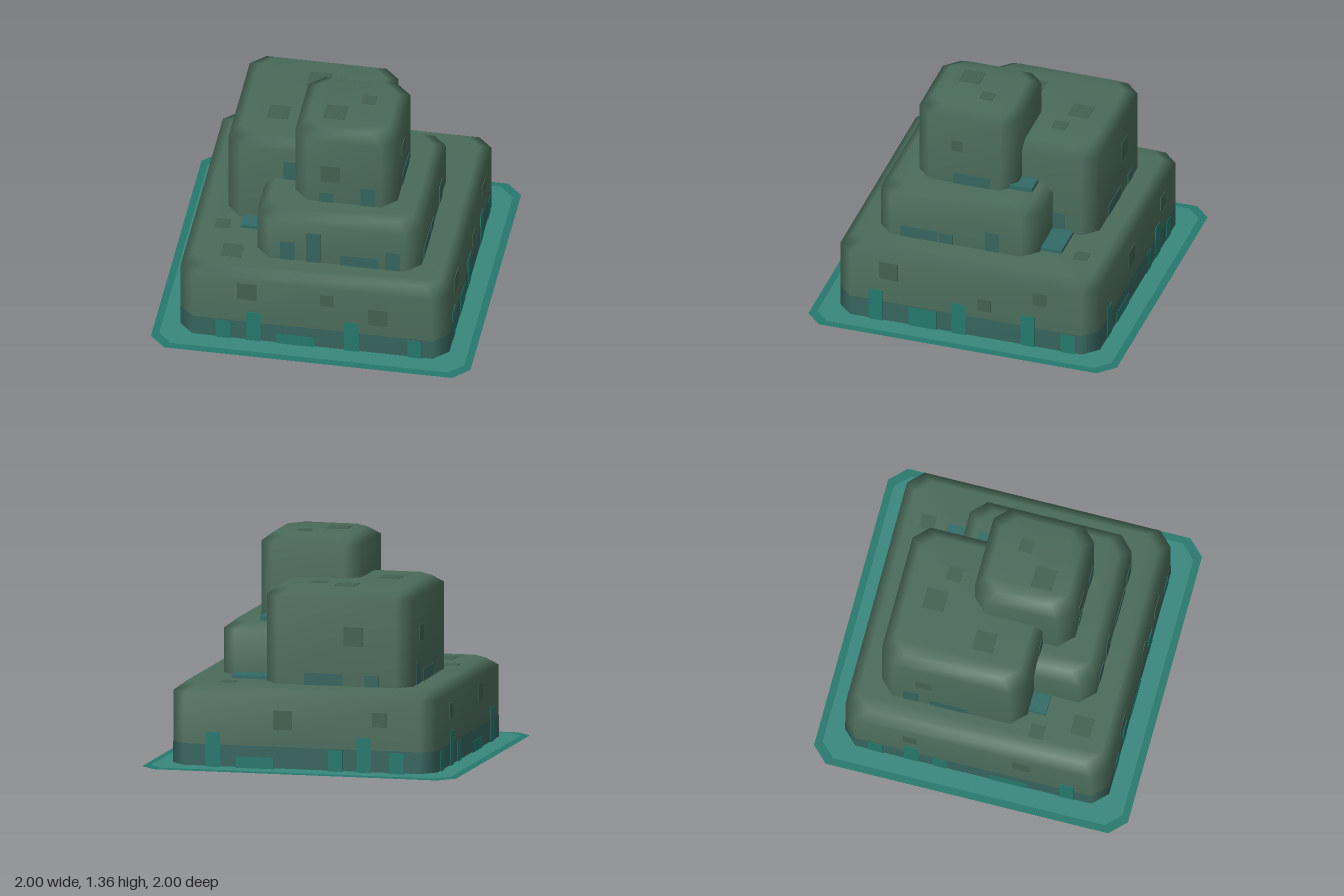
import * as THREE from 'three';

const mat = (color, side = THREE.FrontSide) => new THREE.MeshStandardMaterial({ color, side });

// Ring of eight points: a square with cut corners, centred at (cx, cz)
function octagon(cx, cz, r, y, cut) {
  const s = r - cut;
  const quarter = [[-s, r], [s, r]];
  return [0, 1, 2, 3].flatMap((q) => quarter.map(([x, z]) => {
    for (let i = 0; i < q; i++) [x, z] = [z, -x];
    return [cx + x, y, cz + z];
  }));
}

// Skin stacked rings, bottom to top, with optional caps
function loft(rings, capBottom, capTop) {
  const pos = rings.flat(2), idx = [];
  for (let r = 0; r < rings.length - 1; r++) {
    for (let i = 0; i < 8; i++) {
      const a = r * 8 + i, b = r * 8 + (i + 1) % 8;
      idx.push(a, b, b + 8, a, b + 8, a + 8);
    }
  }
  const cap = (first, up) => {
    for (let i = 1; i < 7; i++) idx.push(first, first + (up ? i : i + 1), first + (up ? i + 1 : i));
  };
  if (capTop) cap((rings.length - 1) * 8, true);
  if (capBottom) {
    // own copy of the bottom ring keeps that edge sharp
    pos.push(...rings[0].flat());
    cap(rings.length * 8, false);
  }
  const g = new THREE.BufferGeometry();
  g.setAttribute('position', new THREE.Float32BufferAttribute(pos, 3));
  g.setIndex(idx);
  g.computeVertexNormals();
  return g;
}

// Strip kinds as [width, height]: tall, short, broad, low, wide
const KINDS = { t: [0.09, 0.22], s: [0.09, 0.135], b: [0.18, 0.135], l: [0.09, 0.07], w: [0.24, 0.075] };

const MATS = {
  stone: mat(0x4a6b5a), patch: mat(0x42614f), teal: mat(0x25786d),
  dim: mat(0x37645f), pad: mat(0x326a66),
};

function add(parent, name, geo, material) {
  const m = new THREE.Mesh(geo, material);
  m.name = name;
  parent.add(m);
  return m;
}

function box(parent, name, material, size, x, y, z) {
  add(parent, name, new THREE.BoxGeometry(...size), material).position.set(x, y, z);
}

// One block of the stack, with helpers that dress its walls and roof
function block(model, name, cx, cz, r, y0, y1, foot, stripMat) {
  const group = new THREE.Group();
  group.name = name;
  model.add(group);
  add(group, 'body', loft([
    octagon(cx, cz, r, y0, 0.09),
    octagon(cx, cz, r, y1 - 0.05, 0.09),
    octagon(cx, cz, r - 0.065, y1, 0.09),
  ], true, true), MATS.stone);

  // Thin plate on a wall; u is x on front and back, z on the sides
  const plate = (part, material, side, u, y, w, h) => {
    const sign = side === 'front' || side === 'left' ? 1 : -1;
    if (side === 'front' || side === 'back') box(group, part, material, [w, h, 0.008], u, y, cz + sign * r);
    else box(group, part, material, [0.008, h, w], cx + sign * r, y, u);
  };
  return {
    // Growth strips standing at the foot of a wall, one kind letter each
    strips(side, kinds, ...centres) {
      centres.forEach((u, i) => {
        const [w, h] = KINDS[kinds[i]];
        plate('growthStrip', stripMat, side, u, foot + h / 2, w, h);
      });
    },
    wallPatch: (side, u, y, size) => plate('wallPatch', MATS.patch, side, u, y, size, size),
    roofPatch: (x, z, size) => box(group, 'roofPatch', MATS.patch, [size, 0.006, size], x, y1, z),
  };
}

export function createModel() {
  const model = new THREE.Group();

  // Wide base block
  const base = block(model, 'baseBlock', 0, 0, 0.84, 0.01, 0.51, 0, MATS.teal);
  base.strips('front', 'stwts', -0.56, -0.37, -0.11, 0.245, 0.64);
  base.strips('back', 'stswt', -0.605, -0.395, -0.215, 0.3, 0.565);
  base.strips('left', 'sttbt', -0.66, -0.4, 0.045, 0.28, 0.585);
  base.strips('right', 'stswt', -0.625, -0.395, -0.215, 0.22, 0.595);
  base.wallPatch('front', -0.41, 0.375, 0.12);
  base.wallPatch('front', 0.09, 0.37, 0.085);
  base.wallPatch('front', 0.41, 0.28, 0.12);
  base.wallPatch('back', 0.12, 0.31, 0.12);
  base.wallPatch('back', -0.495, 0.335, 0.09);
  base.wallPatch('left', 0.5, 0.37, 0.12);
  base.wallPatch('left', -0.48, 0.355, 0.09);
  base.wallPatch('left', -0.12, 0.243, 0.085);
  base.wallPatch('right', 0.305, 0.355, 0.11);
  base.wallPatch('right', -0.405, 0.345, 0.09);
  base.roofPatch(0.515, -0.645, 0.09);
  base.roofPatch(-0.645, 0.355, 0.09);
  base.roofPatch(-0.54, 0.615, 0.125);

  // Tall block at the back
  const back = block(model, 'backBlock', -0.175, -0.195, 0.465, 0.5, 1.105, 0.51, MATS.dim);
  back.strips('back', 'wl', -0.09, -0.4);
  back.strips('left', 's', -0.42);
  back.strips('right', 'ws', -0.21, -0.455);
  back.wallPatch('back', -0.28, 0.82, 0.12);
  back.wallPatch('right', -0.37, 0.82, 0.1);
  back.roofPatch(-0.178, -0.417, 0.135);
  back.roofPatch(0.015, -0.343, 0.09);
  back.roofPatch(-0.365, -0.05, 0.13);
  // Growth on its front wall where the middle block meets it
  box(model, 'growthStrip', MATS.dim, [0.08, 0.135, 0.008], -0.24, 0.907, 0.27);

  // Lower block at the front
  const middle = block(model, 'middleBlock', 0.12, 0.13, 0.515, 0.5, 0.84, 0.51, MATS.dim);
  middle.strips('front', 'stws', -0.19, -0.03, 0.26, 0.47);
  middle.strips('left', 'slw', -0.105, 0.195, 0.37);

  // Tower block on top
  const top = block(model, 'topBlock', 0.13, 0.135, 0.32, 0.83, 1.36, 0.84, MATS.dim);
  top.strips('front', 'ls', 0.02, 0.28);
  top.strips('left', 'w', 0.09);
  top.wallPatch('front', 0.045, 1.057, 0.12);
  top.wallPatch('left', 0.182, 1.112, 0.075);
  top.roofPatch(0.038, 0.22, 0.135);
  top.roofPatch(0.218, 0.062, 0.085);

  // Damp band round the foot of the base block
  add(model, 'dampBand', loft([0.01, 0.145].map((y) => octagon(0, 0, 0.842, y, 0.09)), false, false), MATS.dim);

  // Low pads in the corners between blocks
  box(model, 'cornerPad', MATS.pad, [0.13, 0.027, 0.145], -0.465, 0.518, 0.307);
  box(model, 'cornerPad', MATS.pad, [0.245, 0.027, 0.145], 0.407, 0.518, -0.447);
  box(model, 'cornerPad', MATS.pad, [0.125, 0.033, 0.15], 0.347, 0.851, -0.215);

  // Flat ground plate with a paler inner sheet
  const sheet = (r, y, cut) => loft([octagon(0, 0, r, y, cut)], false, true);
  add(model, 'groundPlate', sheet(1, 0, 0.1), mat(0x25786d, THREE.DoubleSide));
  add(model, 'groundSheet', sheet(0.955, 0.004, 0.09), mat(0x38877d));
  return model;
}
